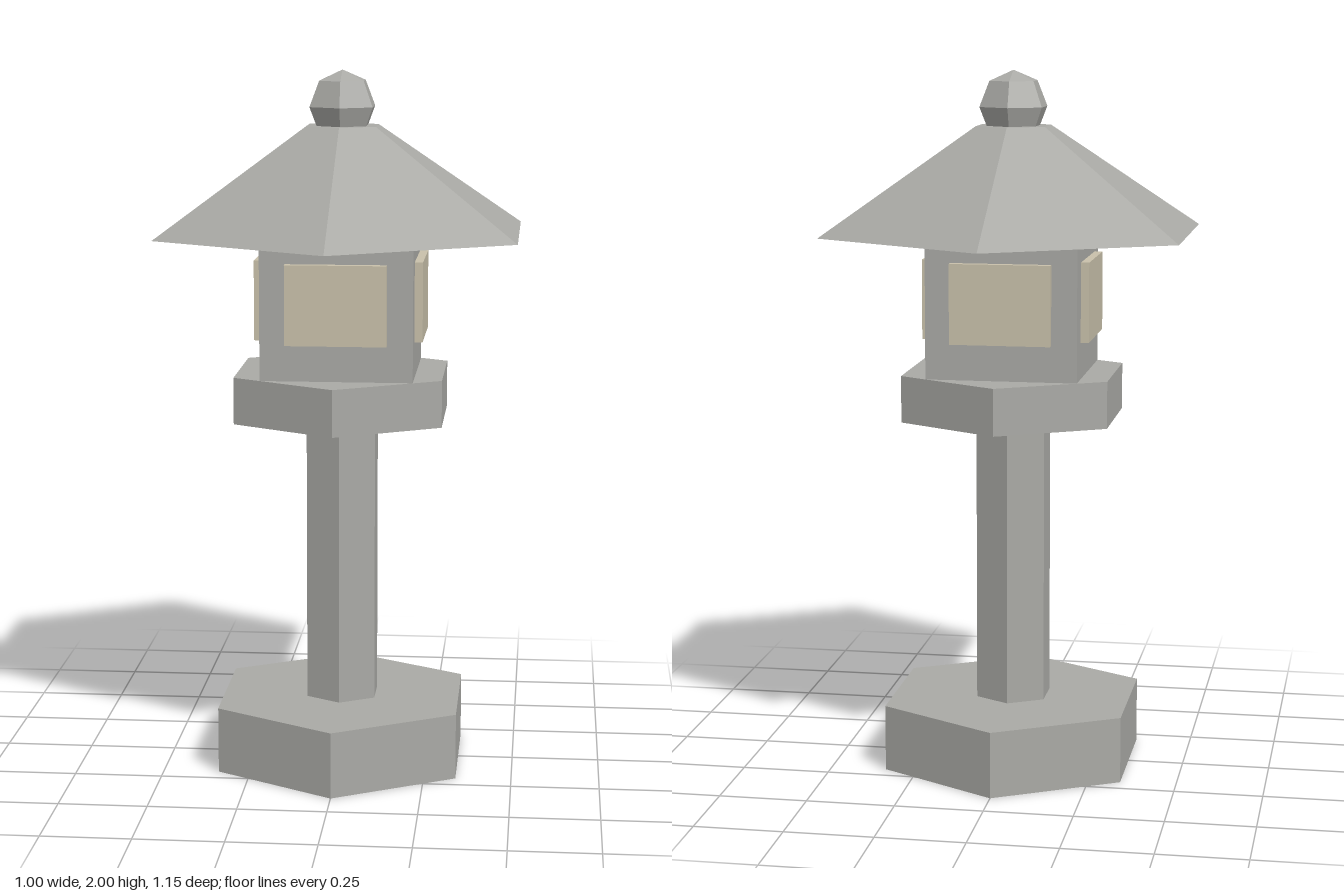
import * as THREE from 'three';

export function createModel() {
  const model = new THREE.Group();
  model.name = 'stoneLantern';

  const stone = new THREE.MeshStandardMaterial({ color: 0xa9a9a5, flatShading: true });
  stone.name = 'stone';
  const paper = new THREE.MeshStandardMaterial({ color: 0xc8c0aa, flatShading: true });
  paper.name = 'windowPaper';

  const add = (name, geometry, material, parent = model) => {
    const mesh = new THREE.Mesh(geometry, material);
    mesh.name = name;
    parent.add(mesh);
    return mesh;
  };

  // Six-sided prism or frustum with corners on the z axis
  const hex = (name, y0, y1, rBottom, rTop = rBottom) => {
    const mesh = add(name, new THREE.CylinderGeometry(rTop, rBottom, y1 - y0, 6), stone);
    mesh.position.y = (y0 + y1) / 2;
  };

  hex('base', 0, 0.19, 0.394);
  hex('post', 0.19, 1.017, 0.113);
  hex('platform', 1.017, 1.15, 0.338);
  hex('roof', 1.547, 1.845, 0.577, 0.113);

  // Square light chamber
  add('lightChamber', new THREE.BoxGeometry(0.427, 0.397, 0.427), stone).position.y = 1.3485;

  // One raised window on each side of the chamber
  const windows = new THREE.Group();
  windows.name = 'windows';
  model.add(windows);
  for (let i = 0; i < 4; i++) {
    const angle = (i * Math.PI) / 2;
    const pane = add('window' + (i + 1), new THREE.BoxGeometry(0.283, 0.225, 0.034), paper, windows);
    pane.position.set(Math.sin(angle) * 0.2195, 1.3655, Math.cos(angle) * 0.2195);
    pane.rotation.y = angle;
  }

  // Faceted finial, sunk slightly into the roof
  const finial = add('finial', new THREE.SphereGeometry(0.102, 6, 4), stone);
  finial.position.y = 1.898;
  finial.rotation.y = Math.PI / 2;

  return model;
}
